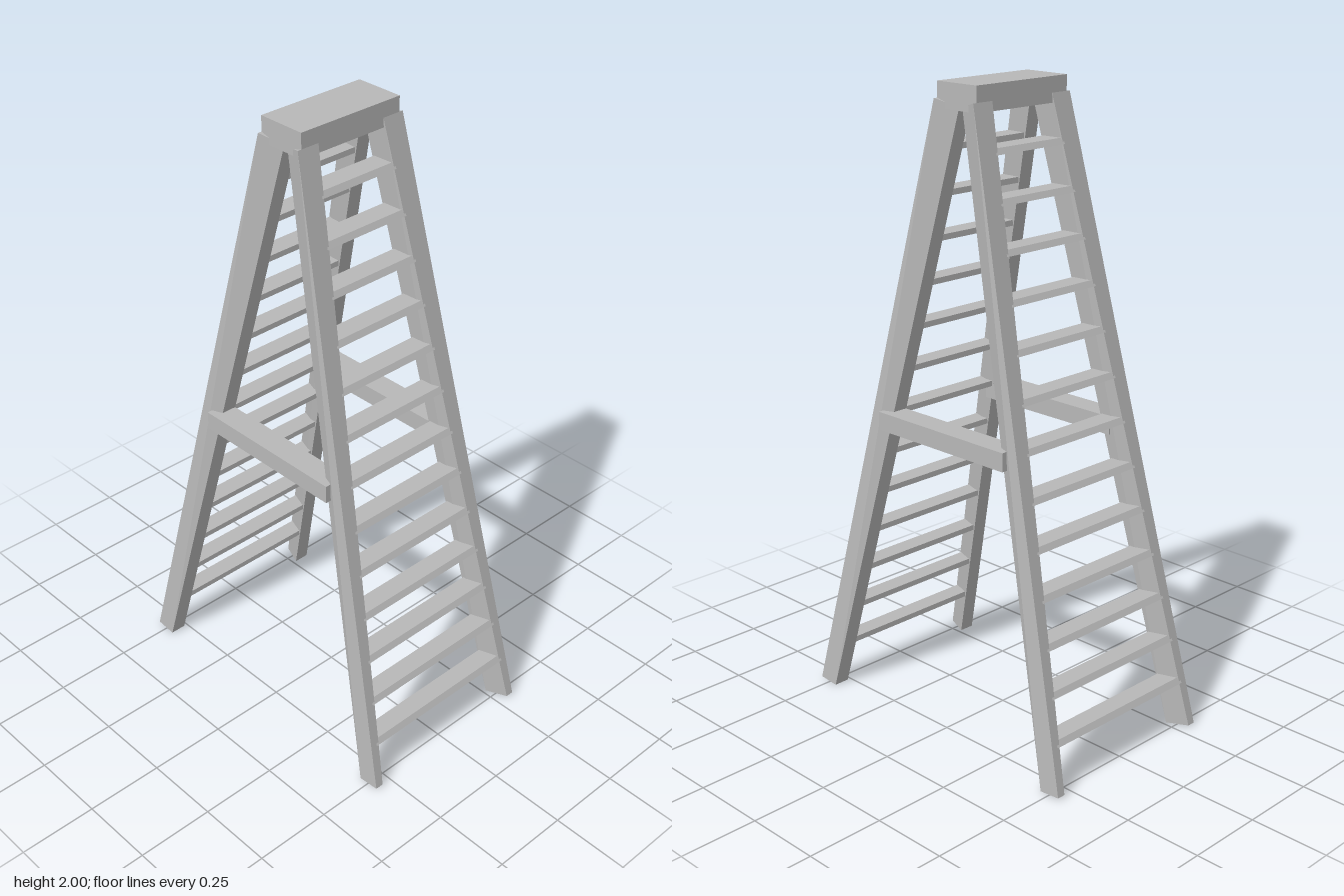
import * as THREE from 'three';
import { ConvexGeometry } from 'three/addons/geometries/ConvexGeometry.js';

const wood = new THREE.MeshStandardMaterial({ color: 0xb8b8b8 });
wood.name = 'grey';

function add(group, name, geometry) {
  const mesh = new THREE.Mesh(geometry, wood);
  mesh.name = name;
  group.add(mesh);
  return mesh;
}

// Solid block through eight corners, mirrored by the signs of x and z
function block(points, sx, sz) {
  return new ConvexGeometry(points.map(([x, y, z]) => new THREE.Vector3(x * sx, y, z * sz)));
}

export function createModel() {
  const ladder = new THREE.Group();
  ladder.name = 'stepLadder';

  // Tapered, splayed rails: foot section, then head section
  const rail = [
    [0.538, 0.006, 0.287], [0.538, 0.006, 0.314], [0.468, 0, 0.314], [0.468, 0, 0.262],
    [0.08, 1.952, 0.122], [0.08, 1.952, 0.197], [0.006, 1.932, 0.168], [0.006, 1.932, 0.12],
  ];

  for (const sx of [1, -1]) {
    const side = new THREE.Group();
    side.name = sx > 0 ? 'leftFrame' : 'rightFrame';
    ladder.add(side);
    for (const sz of [1, -1]) add(side, sz > 0 ? 'frontRail' : 'backRail', block(rail, sx, sz));

    // Steps with a bevelled nose, narrowing towards the top
    for (let i = 0; i < 13; i++) {
      const y = 0.155 + i * 0.1383;
      const out = 0.544 - 0.2353 * y;
      const inner = 0.468 - 0.2391 * y + 0.005;
      const half = 0.297 - 0.0865 * y;
      const step = [];
      for (const z of [-half, half]) {
        step.push([out, y - 0.009, z], [out - 0.011, y + 0.009, z],
          [inner, y + 0.009, z], [inner, y - 0.009, z]);
      }
      add(side, 'step', block(step, sx, 1));
    }
  }

  // Spreader boards on both sides
  for (const sz of [1, -1]) {
    add(ladder, sz > 0 ? 'frontSpreader' : 'backSpreader', new THREE.BoxGeometry(0.532, 0.058, 0.08))
      .position.set(0, 0.961, 0.23 * sz);
  }

  // Top cap
  add(ladder, 'topCap', new THREE.BoxGeometry(0.16, 0.077, 0.368)).position.y = 1.9615;

  return ladder;
}
